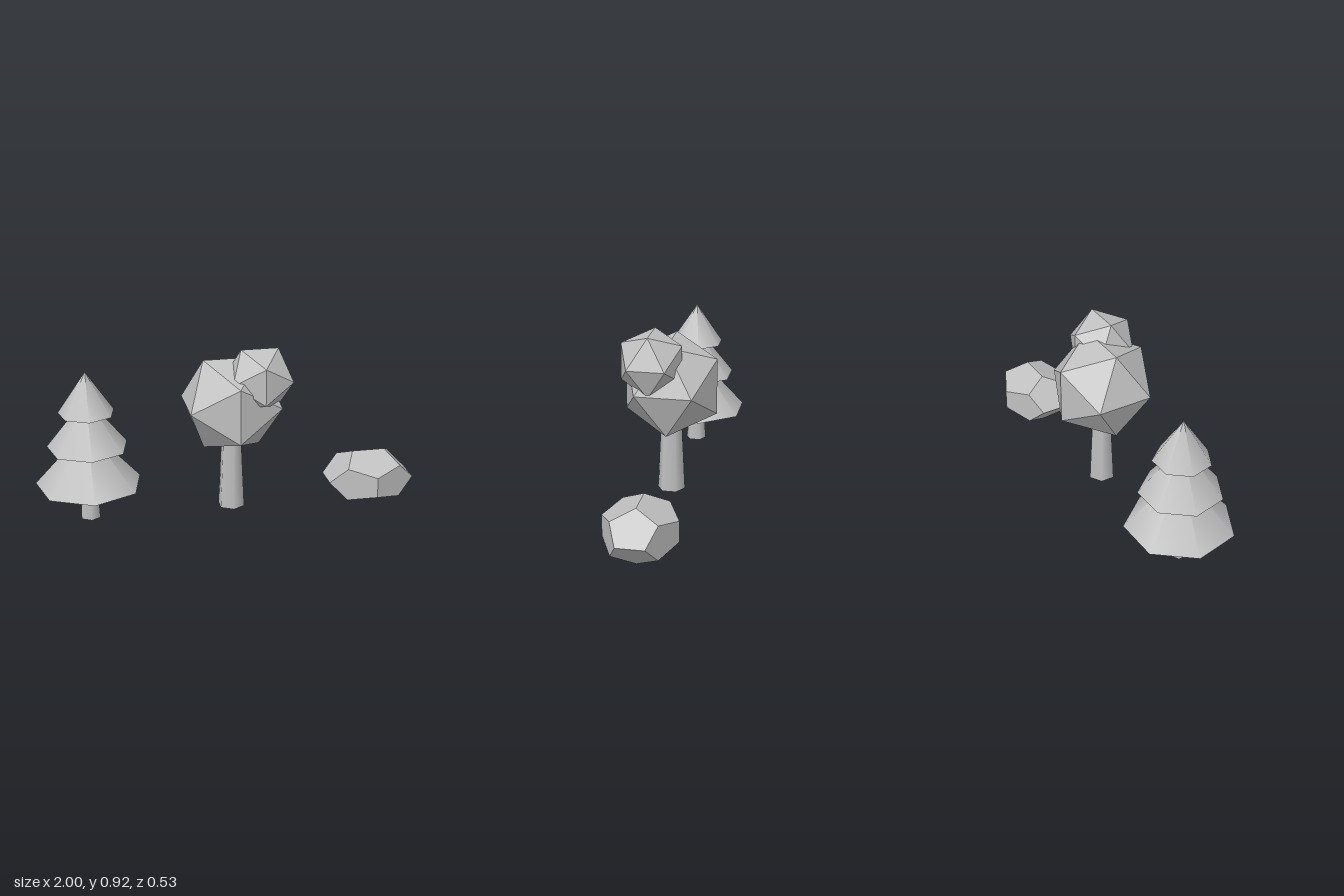
import * as THREE from 'three';

export function createModel() {
  const model = new THREE.Group();
  const grey = new THREE.MeshStandardMaterial({ color: 0xc0c0c0 });
  grey.name = 'light grey';

  const add = (parent, name, geometry, x, y, z) => {
    const mesh = new THREE.Mesh(geometry, grey);
    mesh.name = name;
    mesh.position.set(x, y, z);
    parent.add(mesh);
    return mesh;
  };
  const group = (name, x, z) => {
    const g = new THREE.Group();
    g.name = name;
    g.position.set(x, 0, z);
    model.add(g);
    return g;
  };
  // Six-sided tapered trunk standing on height y0
  const trunk = (parent, rTop, rBottom, y0, h) =>
    add(parent, 'trunk', new THREE.CylinderGeometry(rTop, rBottom, h, 6), 0, y0 + h / 2, 0);

  // Pine: trunk and three stacked seven-sided cones
  const pine = group('pineTree', -0.73, -0.014);
  trunk(pine, 0.042, 0.055, 0.04, 0.24);
  [
    [0.278, 0.225, 0.313],
    [0.211, 0.43, 0.27],
    [0.146, 0.615, 0.22],
  ].forEach(([r, base, h], i) =>
    add(pine, `foliageTier${i + 1}`, new THREE.ConeGeometry(r, h, 7), 0, base + h / 2, 0));

  // Leafy tree: trunk and two faceted crowns
  const tree = group('leafyTree', 0.017, -0.015);
  trunk(tree, 0.054, 0.072, 0.04, 0.38);
  add(tree, 'largeCrown', new THREE.IcosahedronGeometry(0.279, 0), 0, 0.617, 0);
  add(tree, 'smallCrown', new THREE.IcosahedronGeometry(0.184, 0), 0.13, 0.766, 0.077);

  // Rock: flattened, stretched dodecahedron
  const rock = group('rock', 0.766, -0.013);
  const stone = new THREE.DodecahedronGeometry(1, 0);
  stone.scale(0.246, 0.153, 0.201);
  stone.computeVertexNormals();
  add(rock, 'stone', stone, 0, 0.147, 0);

  return model;
}
